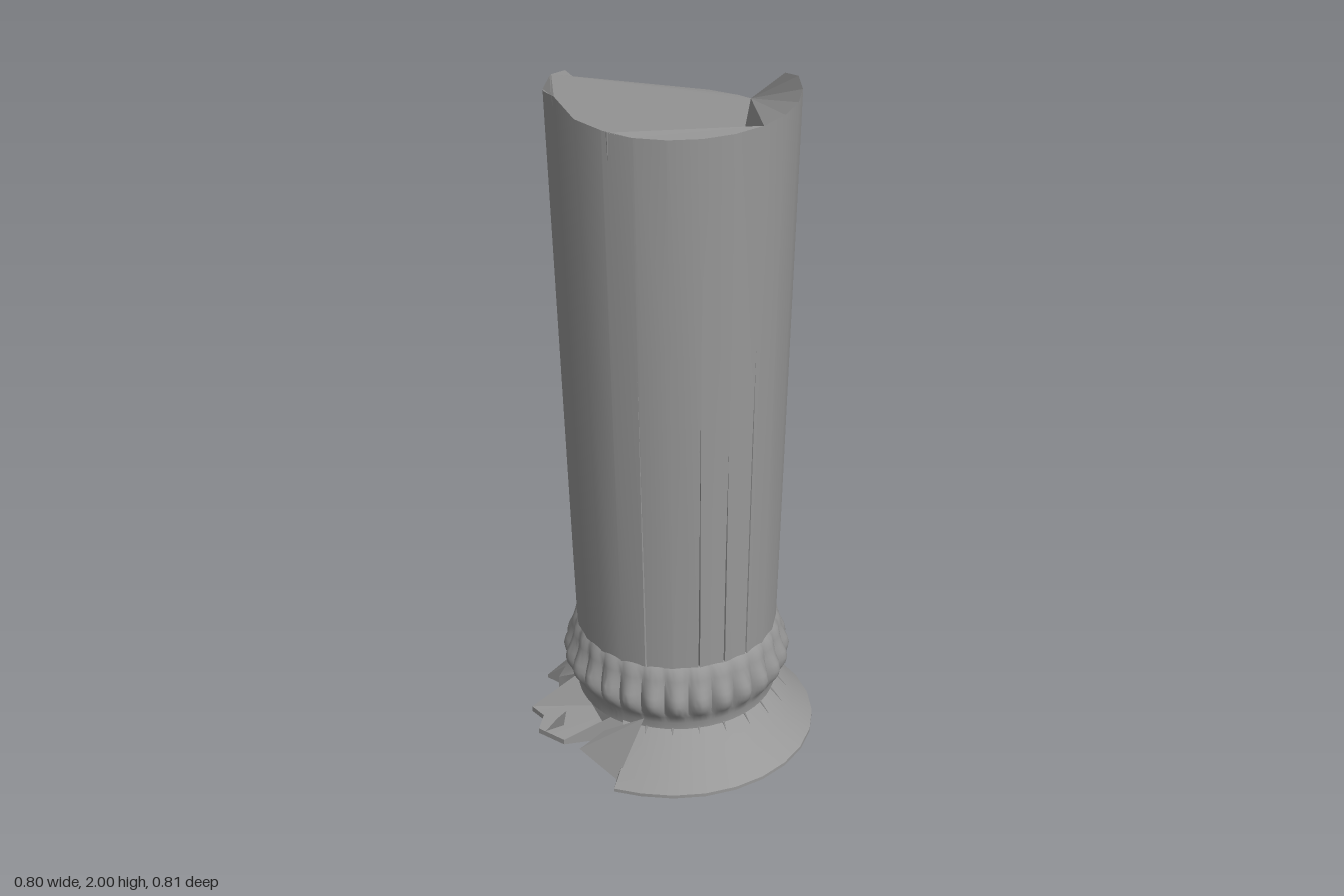
import * as THREE from 'three';
import { toCreasedNormals } from 'three/addons/utils/BufferGeometryUtils.js';

const stone = new THREE.MeshStandardMaterial({ color: 0x989898 });
const thinStone = new THREE.MeshStandardMaterial({ color: 0x989898, side: THREE.DoubleSide });
const RAD = Math.PI / 180;
const SIDES = 24;
const BEADS = 28;
const AXIS = [0.012, -0.015]; // column axis just above the base

// Geometry from a list of triangles, each corner a [x, y, z]
function fromTriangles(tris, crease) {
  const g = new THREE.BufferGeometry();
  g.setAttribute('position', new THREE.Float32BufferAttribute(tris.flat(2), 3));
  g.computeVertexNormals();
  return crease ? toCreasedNormals(g, crease) : g;
}

// Skin between closed rings of points, listed from bottom to top
function skin(rings, crease) {
  const tris = [];
  for (let r = 0; r < rings.length - 1; r++) {
    const a = rings[r], b = rings[r + 1], n = a.length;
    for (let i = 0; i < n; i++) {
      const j = (i + 1) % n;
      tris.push([a[i], b[i], b[j]], [a[i], b[j], a[j]]);
    }
  }
  return fromTriangles(tris, crease);
}

function add(group, name, geometry, material = stone) {
  const m = new THREE.Mesh(geometry, material);
  m.name = name;
  group.add(m);
  return m;
}

// Height of the broken rim by angle in degrees (0 = +x, 90 = +z)
const RIM = [[0, 1.96], [90, 1.96], [130, 1.96], [140, 1.97], [160, 1.97], [165, 2.0],
  [180, 1.98], [195, 1.95], [222, 1.95], [238, 1.86], [250, 1.82], [322, 1.82], [350, 1.96], [360, 1.96]];
function rimHeight(deg) {
  const d = (deg + 360) % 360;
  const k = Math.max(1, RIM.findIndex(p => p[0] >= d));
  const [a, b] = [RIM[k - 1], RIM[k]];
  return THREE.MathUtils.mapLinear(d, a[0], b[0], a[1], b[1]);
}

// Point on the flaring, slightly leaning shaft
function shaftPoint(deg, y, depth = 0) {
  const t = (y - 0.3) / 1.66;
  const r = 0.283 + 0.052 * t - depth;
  return [AXIS[0] - 0.005 * t + r * Math.cos(deg * RAD), y, AXIS[1] - 0.027 * t + r * Math.sin(deg * RAD)];
}

function buildShaft(group) {
  // Narrow grooves remain on some corners and fade out at differing heights
  const grooves = [1, 4, 5, 6, 8, 13, 14, 15, 19, 20, 21, 22];
  const low = [], fade = [], top = [];
  for (let k = 0; k < SIDES; k++) {
    const end = 1 + 0.4 * Math.abs(Math.sin(k * 2.3 + 1.2));
    for (const off of [-0.5, 0, 0.5]) {
      const deg = k * 360 / SIDES + off;
      low.push(shaftPoint(deg, 0.3, off === 0 && grooves.includes(k) ? 0.01 : 0));
      fade.push(shaftPoint(deg, end));
      top.push(shaftPoint(deg, rimHeight(deg)));
    }
  }
  add(group, 'shaft', skin([low, fade, top], 0.4));

  // Broken hollow: a deep pit fanned to a few rim corners, with shards filling the arcs
  const pit = [-0.17, 0.12, 0.16];
  const corners = [60, 132, 168, 212, 322, 420]; // degrees around the rim
  const tris = [];
  const rim = deg => shaftPoint(deg, rimHeight(deg));
  for (let c = 0; c < corners.length - 1; c++) {
    const from = corners[c], to = corners[c + 1];
    tris.push([pit, rim(to), rim(from)]);
    const arc = [];
    for (let d = Math.ceil((from + 1) / 15) * 15; d < to; d += 15) arc.push(d);
    arc.push(to);
    for (let i = 0; i < arc.length - 1; i++) tris.push([rim(from), rim(arc[i + 1]), rim(arc[i])]);
  }
  add(group, 'brokenHollow', fromTriangles(tris), thinStone);
}

function buildCollar(group) {
  // Profile of [radius, y, bead depth]; the radius dips between the beads
  const profile = [[0.283, 0.14, 0], [0.283, 0.17, 0], [0.294, 0.195, 0.002], [0.308, 0.21, 0.012],
    [0.32, 0.23, 0.021], [0.324, 0.25, 0.024], [0.319, 0.272, 0.021], [0.308, 0.295, 0.014],
    [0.3, 0.32, 0.009], [0.294, 0.345, 0.006], [0.28, 0.36, 0]];
  const steps = 8;
  const rings = profile.map(([r, y, dip]) => Array.from({ length: BEADS * steps }, (_, i) => {
    const a = i / (BEADS * steps) * 2 * Math.PI;
    const rr = r - dip * (1 - Math.abs(Math.cos(a * BEADS / 2)));
    return [AXIS[0] + rr * Math.cos(a), y, AXIS[1] + rr * Math.sin(a)];
  }));
  add(group, 'beadedCollar', skin(rings, 0.9));
}

function buildBase(group) {
  // Rim of the flared foot: a sound arc, then the chipped edge
  const outline = [];
  for (let k = -7; k < 10; k++) {
    const a = k * Math.PI / 14;
    outline.push([0.403 * Math.cos(a), 0.403 * Math.sin(a)]);
  }
  outline.push([-0.245, 0.325], [-0.08, 0.08], [-0.34, 0.08], [-0.4, 0.01], [-0.375, -0.05], [-0.4, -0.1],
    [-0.24, -0.08], [-0.31, -0.15], [-0.28, -0.2], [-0.325, -0.255], [-0.26, -0.315],
    [-0.175, -0.37], [-0.08, -0.36]);

  const rings = [[], [], [], [], [], []];
  for (const [x, z] of outline) {
    const r = Math.hypot(x, z), c = x / r, s = z / r;
    const brokenOff = x < -0.335 && Math.abs(z) < 0.11; // only the thin floor is left here
    const top = [AXIS[0] + 0.284 * c, 0.15, AXIS[1] + 0.284 * s];
    const lipY = brokenOff ? 0.028 : THREE.MathUtils.clamp(0.15 - (r - 0.285) * 1.1, 0.022, 0.14);
    const lip = [x, lipY, z];
    const mid = brokenOff ? [0.22 * c, 0.035, 0.22 * s]
      : [(top[0] + x) / 2, (0.15 + lipY) / 2 - 0.006, (top[2] + z) / 2];
    [[0, 0.05, 0], [0.07 * c, 0, 0.07 * s], [x, 0.012, z], lip, mid, top]
      .forEach((p, i) => rings[i].push(p));
  }
  add(group, 'flaredFoot', skin(rings, 0.5));

  // Short tapering ridges under the collar
  const ridgeShape = new THREE.ConeGeometry(0.005, 0.06, 4);
  const ridges = new THREE.Group();
  ridges.name = 'footRidges';
  for (let k = -5; k <= 8; k++) {
    const pivot = new THREE.Group();
    pivot.rotation.y = -k * 15 * RAD;
    const ridge = add(pivot, 'footRidge', ridgeShape);
    ridge.position.set(0.3, 0.128, 0);
    ridge.rotation.z = Math.PI + 0.7;
    ridges.add(pivot);
  }
  ridges.position.set(AXIS[0], 0, AXIS[1]);
  group.add(ridges);

  // Splinters left standing beside the break
  const splinters = [
    [[-0.31, 0.05, 0.16], [-0.23, 0.03, 0.3], [-0.14, 0.19, 0.245]],
    [[-0.31, 0.05, 0.16], [-0.14, 0.19, 0.245], [-0.24, 0.11, 0.17]],
    [[-0.4, 0.01, 0.01], [-0.34, 0.08, 0.08], [-0.31, 0.04, -0.04]],
  ];
  add(group, 'splinters', fromTriangles(splinters), thinStone);
}

export function createModel() {
  const group = new THREE.Group();
  group.name = 'brokenColumn';
  buildBase(group);
  buildCollar(group);
  buildShaft(group);
  return group;
}
